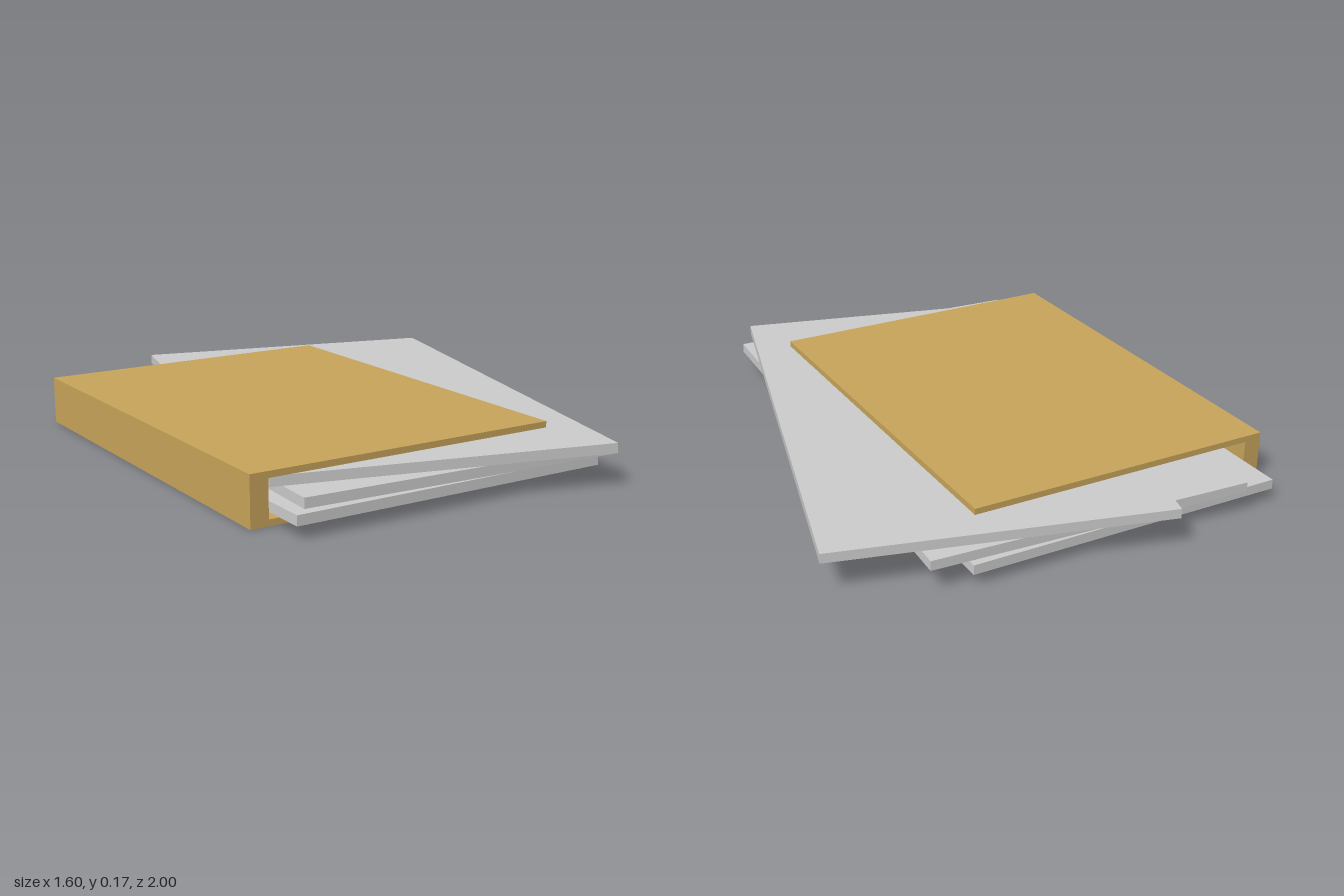
import * as THREE from 'three';

const GOLD = new THREE.MeshStandardMaterial({ color: 0xc8a45a });
const GREY = new THREE.MeshStandardMaterial({ color: 0xcccccc });

// Box given by its width, height, depth and the centre of its underside
function slab(name, material, [w, h, d], [x, y, z], turn = 0) {
  const mesh = new THREE.Mesh(new THREE.BoxGeometry(w, h, d), material);
  mesh.name = name;
  mesh.position.set(x, y + h / 2, z);
  mesh.rotation.y = turn;
  return mesh;
}

export function createModel() {
  const model = new THREE.Group();
  model.name = 'folderWithSheets';

  // Folder: two covers joined by a spine on the -x side
  const folder = new THREE.Group();
  folder.name = 'folder';
  const left = -0.803, right = 0.292, depth = 1.465;
  const cover = 0.021, height = 0.166, spine = 0.061;
  const middle = (left + right) / 2;
  folder.add(
    slab('bottomCover', GOLD, [right - left, cover, depth], [middle, 0, 0]),
    slab('topCover', GOLD, [right - left, cover, depth], [middle, height - cover, 0]),
    slab('spine', GOLD, [spine, height - 2 * cover, depth], [left + spine / 2, cover, 0])
  );
  model.add(folder);

  // Sheets fanned out of the open side: x, underside y, turn
  const sheets = [
    ['bottomSheet', -0.18, 0.043, 0],
    ['middleSheet', -0.095, 0.079, -0.05],
    ['topSheet', 0.035, 0.112, -0.253],
  ];
  for (const [name, x, y, turn] of sheets) {
    model.add(slab(name, GREY, [1.12, 0.033, 1.772], [x, y, 0], turn));
  }
  return model;
}
